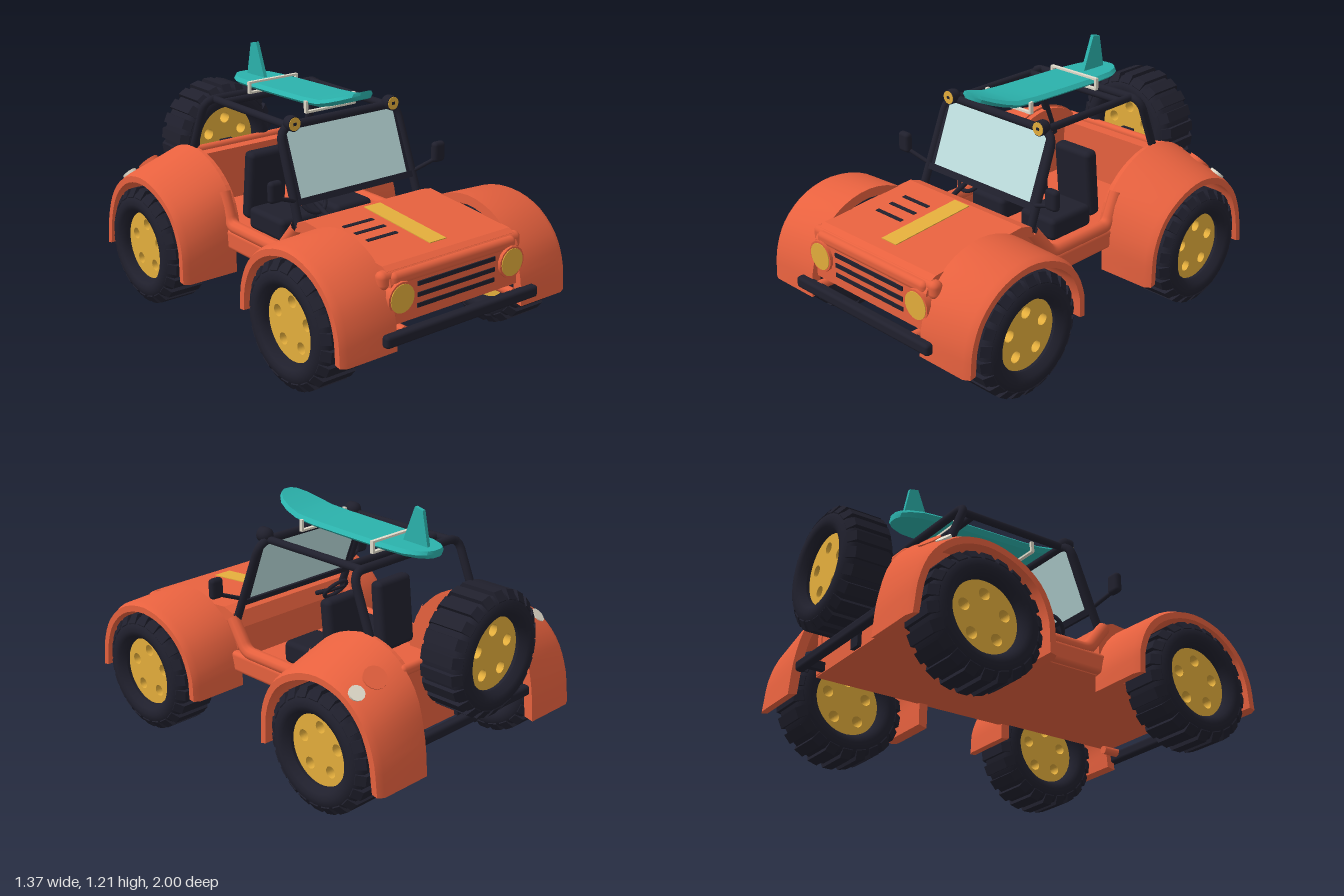
import * as THREE from 'three';
import { mergeGeometries, toCreasedNormals } from 'three/addons/utils/BufferGeometryUtils.js';
import { RoundedBoxGeometry } from 'three/addons/geometries/RoundedBoxGeometry.js';

const mat = (name, color) => Object.assign(new THREE.MeshStandardMaterial({ color }), { name });
const orange = mat('orange paint', 0xe9623f), black = mat('black rubber', 0x20202d), gold = mat('gold', 0xe4ae3c);
const teal = mat('teal', 0x2bb2ac), glass = mat('glass', 0xbfe0e0), cream = mat('cream', 0xe2dccb);
const V = (x, y, z) => new THREE.Vector3(x, y, z);

export function createModel() {
  const model = new THREE.Group();
  const add = (name, geo, material, pos = [0, 0, 0], rot = [0, 0, 0], parent = model) => {
    const m = new THREE.Mesh(geo, material);
    m.name = name;
    m.position.set(...pos);
    m.rotation.set(...rot);
    parent.add(m);
  };
  const box = (w, h, d) => new THREE.BoxGeometry(w, h, d);
  const rbox = (w, h, d, r = 0.02) => new RoundedBoxGeometry(w, h, d, 2, r);
  const cyl = (r, h, n = 16) => new THREE.CylinderGeometry(r, r, h, n);

  // Tube along straight runs with rounded corners
  const pipe = (pts, r, corner = 0.06) => {
    const path = new THREE.CurvePath();
    let from = pts[0];
    for (let i = 1; i < pts.length - 1; i++) {
      const p = pts[i];
      const a = p.clone().add(pts[i - 1].clone().sub(p).setLength(corner));
      const b = p.clone().add(pts[i + 1].clone().sub(p).setLength(corner));
      path.add(new THREE.LineCurve3(from, a));
      path.add(new THREE.QuadraticBezierCurve3(a, p, b));
      from = b;
    }
    path.add(new THREE.LineCurve3(from, pts[pts.length - 1]));
    return new THREE.TubeGeometry(path, pts.length > 2 ? 64 : 1, r, 10);
  };

  // Closed skin through cross-sections running from +z to -z
  const loft = (rows, crease = 0.6) => {
    const n = rows[0].length, pos = [], idx = [];
    rows.forEach(row => row.forEach(p => pos.push(p.x, p.y, p.z)));
    for (let j = 0; j < rows.length - 1; j++) for (let k = 0; k < n; k++) {
      const a = j * n + k, b = j * n + (k + 1) % n;
      idx.push(a, b, b + n, a, b + n, a + n);
    }
    const e = (rows.length - 1) * n;
    for (let k = 1; k < n - 1; k++) idx.push(0, k + 1, k, e, e + k, e + k + 1);
    const g = new THREE.BufferGeometry();
    g.setAttribute('position', new THREE.Float32BufferAttribute(pos, 3));
    g.setIndex(idx);
    return toCreasedNormals(g, crease);
  };

  // Extrude a (z, y) outline across x, centred at x = 0
  const slab = (pts, width) => {
    const g = new THREE.ExtrudeGeometry(new THREE.Shape(pts.map(p => new THREE.Vector2(-p[0], p[1]))),
      { depth: width, bevelEnabled: false });
    return g.translate(0, 0, -width / 2).rotateY(Math.PI / 2);
  };

  // Wheels: tyre, tread bars and a drilled hub, axle along x
  const tyreGeo = new THREE.LatheGeometry([[0.165, -0.085], [0.185, -0.115], [0.21, -0.12], [0.235, -0.118], [0.255, -0.1], [0.269, -0.08],
    [0.269, 0.08], [0.255, 0.1], [0.235, 0.118], [0.21, 0.12], [0.185, 0.115], [0.165, 0.085], [0.165, -0.085]]
    .map(p => new THREE.Vector2(...p)), 40).rotateZ(Math.PI / 2);
  const barShape = new THREE.Shape([[-0.1, 0.22], [0.1, 0.22], [0.113, 0.247], [0.085, 0.285], [-0.085, 0.285], [-0.113, 0.247]]
    .map(p => new THREE.Vector2(...p)));
  const bar = new THREE.ExtrudeGeometry(barShape, { depth: 0.05, bevelEnabled: false }).translate(0, 0, -0.025);
  const treadGeo = mergeGeometries(Array.from({ length: 22 }, (_, i) => bar.clone().rotateX(i * Math.PI / 11)));
  const hubShape = new THREE.Shape().absarc(0, 0, 0.167, 0, Math.PI * 2);
  for (let i = 0; i < 5; i++) {
    const a = Math.PI / 2 + i * Math.PI * 0.4;
    hubShape.holes.push(new THREE.Path().absarc(Math.cos(a) * 0.105, Math.sin(a) * 0.105, 0.027, 0, Math.PI * 2, true));
  }
  const hubGeo = new THREE.ExtrudeGeometry(hubShape, { depth: 0.14, bevelEnabled: false, curveSegments: 20 })
    .translate(0, 0, -0.07).rotateY(Math.PI / 2);
  const wheel = (name, x, y, z, turn = 0) => {
    const g = new THREE.Group();
    g.name = name;
    add('tyre', tyreGeo, black, undefined, undefined, g);
    add('tread', treadGeo, black, undefined, undefined, g);
    add('hub', hubGeo, gold, undefined, undefined, g);
    g.position.set(x, y, z);
    g.rotation.y = turn;
    model.add(g);
  };
  for (const s of [1, -1]) {
    wheel('frontWheel', s * 0.565, 0.285, 0.61);
    wheel('rearWheel', s * 0.565, 0.285, -0.555);
  }
  wheel('spareWheel', 0, 0.655, -0.88, Math.PI / 2);

  // Fenders: arched shells sloping down to the outer edge
  const sample = pts => new THREE.CatmullRomCurve3(pts.map(p => V(0, p[1], p[0]))).getPoints(28);
  const fender = (s, inner, outer, centre) => {
    const a = sample(inner), b = sample(outer);
    return loft(a.map((p, i) => {
      const pull = (q, d, x) => {
        const r = q.clone().add(centre.clone().sub(q).setLength(d));
        r.x = s * x;
        return r;
      };
      const row = [pull(p, 0, 0.365), pull(b[i], 0, 0.625), pull(b[i], 0.015, 0.657), pull(b[i], 0.045, 0.657), pull(p, 0.045, 0.365)];
      return s > 0 ? row : row.reverse();
    }));
  };
  const frontIn = [[0.97, 0.22], [0.955, 0.36], [0.9, 0.49], [0.78, 0.6], [0.61, 0.645], [0.44, 0.605], [0.32, 0.51], [0.255, 0.37], [0.245, 0.24]];
  const frontOut = frontIn.map(([z, y]) => [z, y - Math.max(0, y - 0.4) * 0.06]);
  const rearIn = [[-0.19, 0.195], [-0.195, 0.42], [-0.25, 0.58], [-0.38, 0.69], [-0.555, 0.737], [-0.72, 0.69], [-0.84, 0.57], [-0.9, 0.38], [-0.92, 0.195]];
  const rearOut = [[-0.19, 0.195], [-0.2, 0.38], [-0.27, 0.52], [-0.4, 0.61], [-0.555, 0.645], [-0.71, 0.61], [-0.83, 0.51], [-0.895, 0.37], [-0.92, 0.195]];
  const rearPanel = slab(sample(rearIn).map(p => [Math.max(p.z, -0.785), Math.max(p.y - 0.01, 0.32)]), 0.035);

  // Body tub
  add('frontBody', slab([[0.27, 0.32], [0.932, 0.32], [0.928, 0.5], [0.9, 0.55], [0.87, 0.565], [0.36, 0.61], [0.3, 0.59], [0.27, 0.52]], 0.74), orange);
  add('floor', box(0.76, 0.05, 1.07), orange, [0, 0.34, -0.245]);
  add('rearWall', slab([[-0.78, 0.32], [-0.685, 0.32], [-0.69, 0.63], [-0.78, 0.63]], 0.72), orange);
  add('rearLip', rbox(0.76, 0.05, 0.04), orange, [0, 0.63, -0.77]);
  add('hoodLip', rbox(0.82, 0.085, 0.06, 0.028), orange, [0, 0.51, 0.885]);
  add('grilleBrow', rbox(0.72, 0.06, 0.05, 0.024), orange, [0, 0.515, 0.908]);
  for (const s of [1, -1]) {
    add('frontFender', fender(s, frontIn, frontOut, V(0, 0.285, 0.61)), orange);
    add('rearFender', fender(s, rearIn, rearOut, V(0, 0.285, -0.555)), orange);
    add('rearSidePanel', rearPanel, orange, [s * 0.355, 0, 0]);
    add('sill', rbox(0.05, 0.1, 0.52), orange, [s * 0.385, 0.37, 0.02]);
    add('sillRail', pipe([V(s * 0.375, 0.58, -0.27), V(s * 0.38, 0.43, -0.2), V(s * 0.38, 0.43, 0.19), V(s * 0.37, 0.57, 0.3)], 0.032, 0.04), orange);
    // Front lamps
    add('headlightBezel', cyl(0.074, 0.06, 14), orange, [s * 0.32, 0.435, 0.914], [Math.PI / 2, 0, 0]);
    add('headlight', cyl(0.064, 0.004, 24), gold, [s * 0.32, 0.435, 0.945], [Math.PI / 2, 0, 0]);
    // Rear lamps on the fender slope
    add('rearReflector', cyl(0.054, 0.03, 14), orange, [s * 0.5, 0.627, -0.735], [-0.72, 0, -s * 0.25]);
    add('tailLight', cyl(0.036, 0.03, 12), cream, [s * 0.607, 0.592, -0.735], [-0.72, 0, -s * 0.25]);
    // Bumper brackets
    add('frontBracket', cyl(0.022, 0.1, 8), orange, [s * 0.32, 0.295, 0.91], [Math.PI / 2, 0, 0]);
    add('rearBracket', box(0.03, 0.04, 0.13), black, [s * 0.31, 0.34, -0.82]);
  }
  add('frontBumper', rbox(0.885, 0.055, 0.05, 0.015), black, [0, 0.283, 0.973]);
  add('rearBar', rbox(0.76, 0.05, 0.045, 0.015), black, [0, 0.34, -0.87]);
  add('spareMount', box(0.07, 0.1, 0.12), black, [0, 0.6, -0.82]);
  add('spareMountPost', box(0.06, 0.3, 0.02), black, [0, 0.47, -0.79]);
  for (const y of [0.472, 0.422, 0.374]) add('grilleSlot', box(0.45, 0.02, 0.008), black, [0, y, 0.931]);

  // Hood stripe and vents
  const hoodY = z => 0.611 - (z - 0.36) * 0.088;
  add('hoodStripe', box(0.095, 0.006, 0.44), gold, [0, hoodY(0.59), 0.59], [0.088, 0, 0]);
  for (const z of [0.49, 0.57, 0.65]) add('hoodVent', box(0.17, 0.004, 0.02), black, [-0.18, hoodY(z), z], [0.088, 0, 0]);

  // Windshield
  const shieldZ = y => 0.29 - (y - 0.56) * 0.381;
  const tilt = -Math.atan(0.381);
  add('windshieldFrame', pipe([V(-0.352, 0.56, 0.29), V(-0.342, 0.98, 0.13), V(0.342, 0.98, 0.13), V(0.352, 0.56, 0.29)], 0.02, 0.075), black);
  add('windshieldLowerBar', box(0.68, 0.03, 0.03), black, [0, 0.66, shieldZ(0.66)], [tilt, 0, 0]);
  add('windshieldGlass', box(0.63, 0.315, 0.009), glass, [0, 0.815, shieldZ(0.815)], [tilt, 0, 0]);
  for (const s of [1, -1]) {
    add('glassSideBar', box(0.02, 0.31, 0.015), black, [s * 0.323, 0.805, shieldZ(0.805)], [tilt, 0, 0]);
    // Roof lamps
    add('roofLampHousing', new THREE.SphereGeometry(0.035, 14, 10), black, [s * 0.288, 0.997, 0.145]);
    add('roofLampRim', cyl(0.035, 0.03, 16), black, [s * 0.288, 0.997, 0.16], [Math.PI / 2, 0, 0]);
    add('roofLamp', cyl(0.031, 0.004, 16), gold, [s * 0.288, 0.997, 0.176], [Math.PI / 2, 0, 0]);
    // Mirrors
    add('mirrorArm', pipe([V(s * 0.345, 0.672, 0.255), V(s * 0.47, 0.72, 0.285)], 0.01), black);
    add('mirror', rbox(0.07, 0.1, 0.04, 0.018), black, [s * 0.48, 0.752, 0.285]);
    // Roof rails
    add('roofRail', pipe([V(s * 0.29, 0.98, 0.14), V(s * 0.29, 0.98, -0.46)], 0.018), black);
  }
  add('rearHoop', pipe([V(-0.35, 0.58, -0.62), V(-0.345, 0.98, -0.46), V(0.345, 0.98, -0.46), V(0.35, 0.58, -0.62)], 0.02), black);
  add('roofCrossBar', pipe([V(-0.29, 0.98, -0.38), V(0.29, 0.98, -0.38)], 0.017), black);

  // Seats
  for (const s of [1, -1]) {
    add('seatCushion', rbox(0.22, 0.11, 0.27, 0.025), black, [s * 0.165, 0.445, -0.08]);
    add('seatBack', rbox(0.22, 0.34, 0.07, 0.025), black, [s * 0.165, 0.6, -0.228], [0.1, 0, 0]);
  }

  // Steering wheel
  add('steeringWheel', new THREE.TorusGeometry(0.064, 0.01, 8, 24), black, [-0.17, 0.613, 0.155], [-0.7, 0, 0]);
  add('steeringSpoke', box(0.12, 0.02, 0.01), black, [-0.17, 0.613, 0.155], [-0.7, 0, 0]);
  add('steeringColumn', pipe([V(-0.17, 0.613, 0.155), V(-0.17, 0.555, 0.29)], 0.012), black);

  // Surfboard: z, half width, height
  const stations = [[0.31, 0.025, 1.112], [0.295, 0.06, 1.105], [0.25, 0.096, 1.088], [0.19, 0.117, 1.068], [0.12, 0.127, 1.05], [0, 0.13, 1.042],
    [-0.2, 0.13, 1.036], [-0.4, 0.127, 1.031], [-0.53, 0.113, 1.027], [-0.59, 0.085, 1.026], [-0.62, 0.055, 1.026], [-0.632, 0.025, 1.026]];
  add('surfboard', loft(stations.map(([z, w, y]) => [[-1, 0], [-0.85, 0.016], [0.85, 0.016], [1, 0], [0.8, -0.018], [-0.8, -0.018]]
    .map(([u, v]) => V(u * w, y + v, z))), 0.5), teal);
  add('fin', slab([[-0.435, 1.03], [-0.505, 1.21], [-0.55, 1.2], [-0.585, 1.03]], 0.018), teal);

  // Board straps
  for (const z of [0.065, -0.38]) {
    for (const s of [1, -1]) add('strapSide', box(0.012, 0.055, 0.018), cream, [s * 0.14, 1.028, z]);
    add('strapUnder', box(0.29, 0.01, 0.018), cream, [0, 1.003, z]);
  }
  add('strapTop', box(0.29, 0.01, 0.018), cream, [0, 1.052, -0.38]);
  return model;
}
